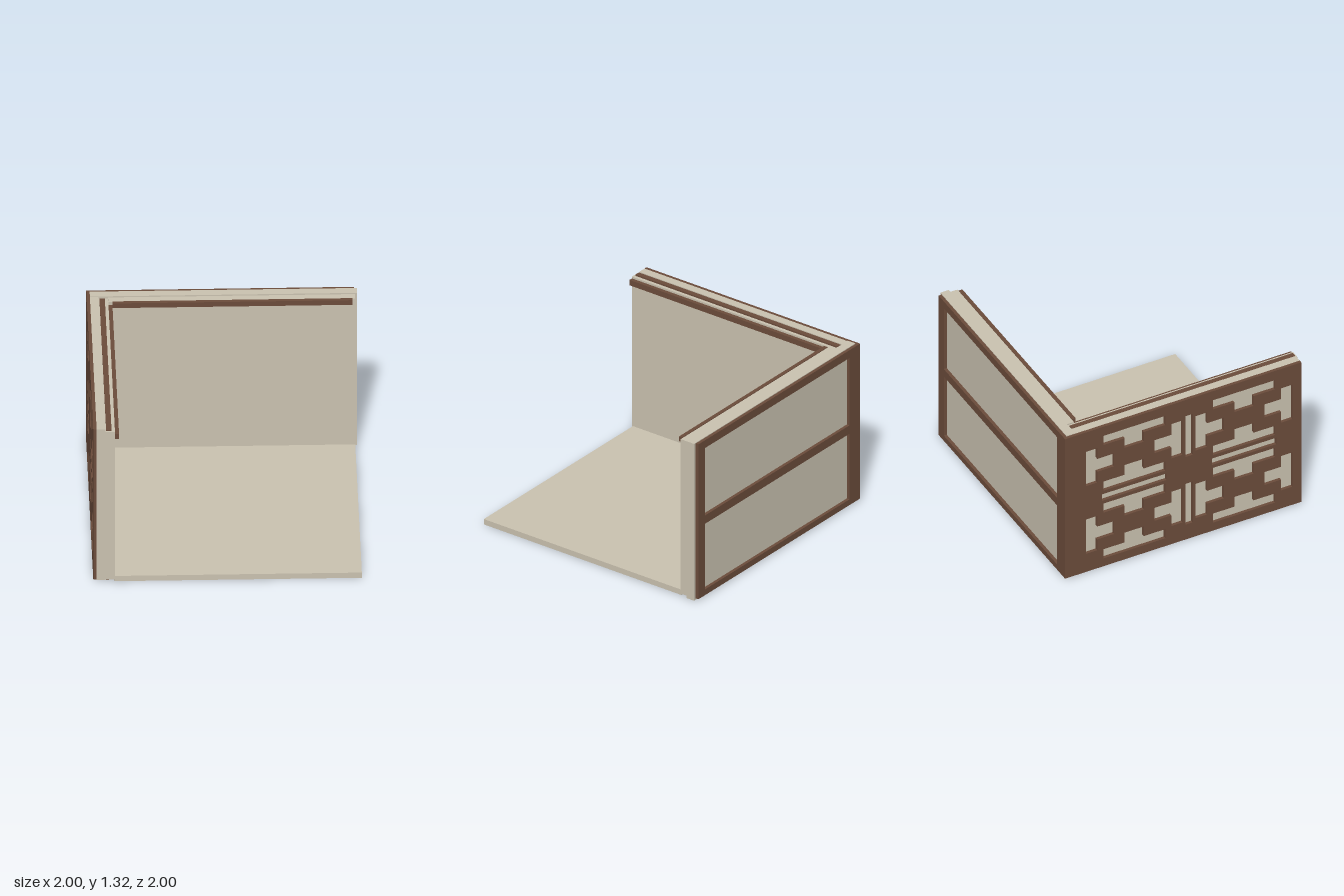
import * as THREE from 'three';

export function createModel() {
  const plaster = new THREE.MeshStandardMaterial({ color: 0xcac2b0 });
  plaster.name = 'plaster';
  const wood = new THREE.MeshStandardMaterial({ color: 0x6b4c3b });
  wood.name = 'wood';
  const model = new THREE.Group();
  model.name = 'roomCorner';

  const add = (name, geometry, material) => {
    const mesh = new THREE.Mesh(geometry, material);
    mesh.name = name;
    model.add(mesh);
    return mesh;
  };
  // Box given by its limits on each axis
  const box = (name, material, x0, x1, y0, y1, z0, z1) =>
    add(name, new THREE.BoxGeometry(x1 - x0, y1 - y0, z1 - z0), material)
      .position.set((x0 + x1) / 2, (y0 + y1) / 2, (z0 + z1) / 2);
  const outline = (Type, points) => new Type(points.map(([a, b]) => new THREE.Vector2(a, b)));
  const rect = (a0, a1, b0, b1) => [[a0, b0], [a1, b0], [a1, b1], [a0, b1]];

  // Floor
  box('floor', plaster, -0.845, 0.985, 0, 0.045, -0.845, 0.985);

  // Back wall: two layers and a cornice
  box('backWallCore', plaster, -0.975, 1, 0, 1.315, -0.975, -0.905);
  box('backWallLining', plaster, -0.84, 0.985, 0.01, 1.305, -0.905, -0.84);
  box('backCornice', wood, -0.81, 0.965, 1.27, 1.31, -0.84, -0.81);

  // Side wall: two layers, rails and a cornice
  box('sideWallCore', plaster, -0.975, -0.91, 0.01, 1.31, -0.905, 0.98);
  box('sideWallLining', plaster, -0.91, -0.84, 0.02, 1.295, -0.905, 0.995);
  box('sideTopRail', wood, -0.905, -0.865, 1.295, 1.307, -0.89, 0.98);
  box('sideBottomRail', wood, -0.905, -0.865, 0.01, 0.02, -0.89, 0.98);
  box('sideCornice', wood, -0.84, -0.81, 1.235, 1.28, -0.84, 0.995);

  // Two-pane frame on the outside of the back wall
  const frame = outline(THREE.Shape, rect(-1, 0.98, 0.012, 1.31));
  for (const [y0, y1] of [[0.06, 0.61], [0.68, 1.245]]) {
    frame.holes.push(outline(THREE.Path, rect(-0.87, 0.9, y0, y1)));
  }
  add('backFrame', new THREE.ExtrudeGeometry(frame, { depth: 0.025, bevelEnabled: false }), wood)
    .position.z = -1;

  // Corner post
  box('cornerPost', wood, -1, -0.975, 0.012, 1.31, -0.975, -0.89);

  // Fretwork screen on the outside of the side wall
  const screen = outline(THREE.Shape, rect(-0.89, 0.98, 0.012, 1.31));
  const midZ = 0.04, midY = 0.655;
  const hole = (points) => screen.holes.push(outline(THREE.Path, points));
  // T-shaped openings, each described across (a) and outward from the centre (b)
  const tee = (barHalf, barIn, barOut, stemHalf, stemIn) => [
    [-barHalf, barOut], [-barHalf, barIn], [-stemHalf, barIn], [-stemHalf, stemIn],
    [stemHalf, stemIn], [stemHalf, barIn], [barHalf, barIn], [barHalf, barOut],
  ];
  const upright = tee(0.26, 0.17, 0.255, 0.08, 0.08);
  const sideways = tee(0.16, 0.31, 0.405, 0.06, 0.17);
  for (const sz of [-1, 1]) {
    for (const sy of [-1, 1]) {
      const cz = midZ + sz * 0.46, cy = midY + sy * 0.315;
      for (const s of [-1, 1]) {
        hole(upright.map(([a, b]) => [cz + a, cy + s * b]));
        hole(sideways.map(([a, b]) => [cz + s * b, cy + a]));
      }
    }
    // Slots between the four fields
    hole(rect(midZ + sz * 0.46 - 0.27, midZ + sz * 0.46 + 0.27, midY - 0.03, midY + 0.03));
    const slotY = midY + sz * 0.315;
    hole(rect(midZ - 0.03, midZ + 0.03, slotY - 0.19, slotY + 0.19));
  }
  const fret = add('fretworkScreen',
    new THREE.ExtrudeGeometry(screen, { depth: 0.025, bevelEnabled: false }).rotateY(-Math.PI / 2), wood);
  fret.position.x = -0.975;

  return model;
}
